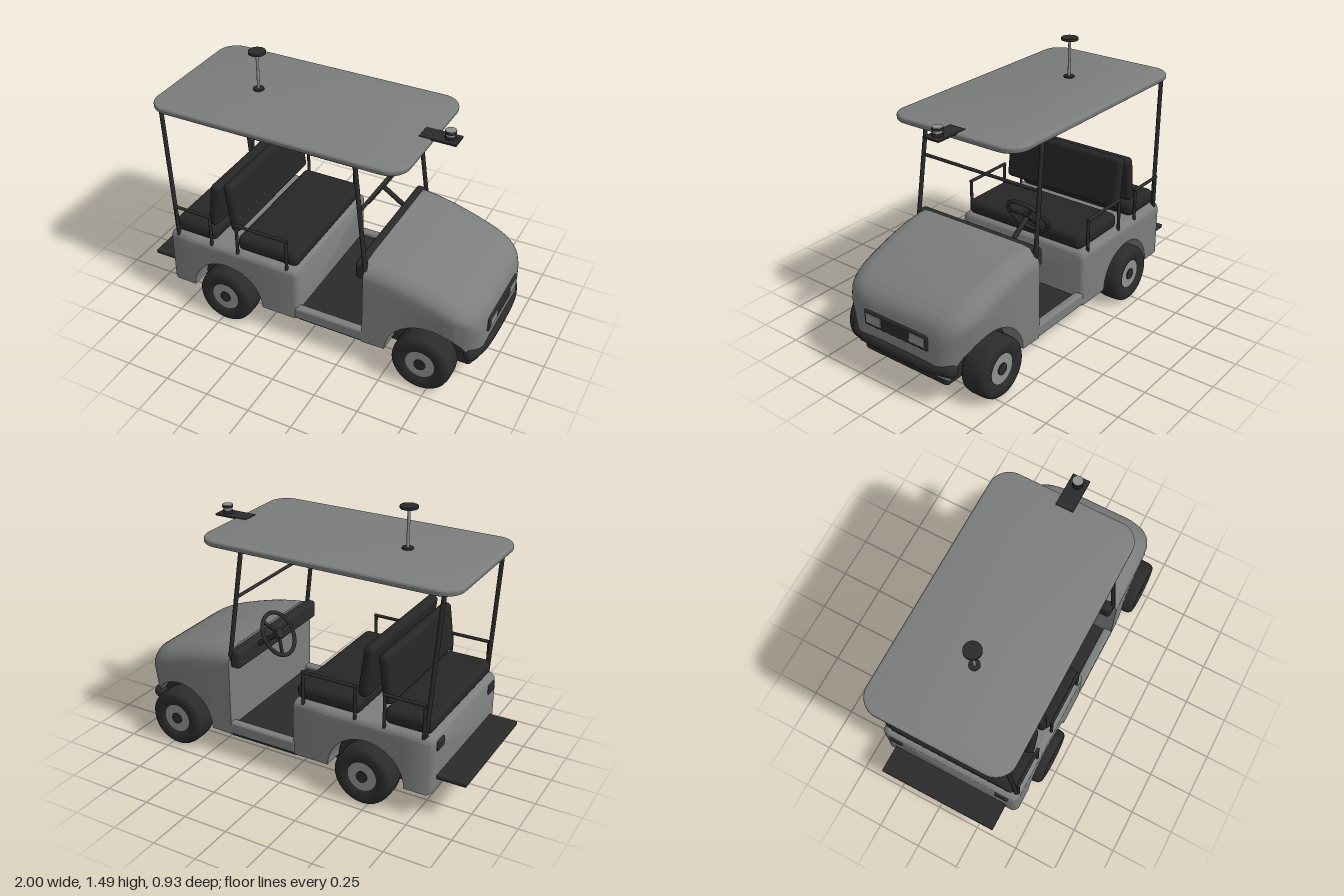
import * as THREE from 'three';
import { toCreasedNormals } from 'three/addons/utils/BufferGeometryUtils.js';
import { RoundedBoxGeometry } from 'three/addons/geometries/RoundedBoxGeometry.js';

const mat = (name, color) => Object.assign(new THREE.MeshStandardMaterial({ color }), { name });
const V = (x, y, z) => new THREE.Vector3(x, y, z);

// piecewise linear lookup in a list of [x, value]
function lookup(table, x) {
  for (let i = 1; i < table.length; i++) {
    const [x0, a] = table[i - 1], [x1, b] = table[i];
    if (x <= x1) return a + (b - a) * Math.max(0, (x - x0) / (x1 - x0));
  }
  return table[table.length - 1][1];
}

// body shell: cross-sections along x, with a wheel arch cut into the underside
function shell({ top, width, bottom, archX, archR, rx, ry, taper }) {
  const xs = top.concat(width, bottom).map(p => p[0]);
  for (let k = 0; k <= 24; k++) xs.push(archX - archR * Math.cos(k * Math.PI / 24));
  xs.sort((a, b) => a - b);
  const stations = xs.filter((x, i) => i === 0 || x - xs[i - 1] > 1e-4);
  const pos = [], idx = [];
  for (const x of stations) {
    const d = (x - archX) / archR;
    const t = lookup(top, x), w = lookup(width, x);
    const b = Math.max(lookup(bottom, x), 0.15 + 0.21 * Math.sqrt(Math.max(0, 1 - d * d)));
    const half = [];
    for (let k = 0; k < 6; k++) half.push([w, b + (t - ry - b) * k / 6]);
    for (let k = 0; k <= 8; k++) {
      const a = k * Math.PI / 16;
      half.push([w - rx + rx * Math.cos(a), t - ry + ry * Math.sin(a)]);
    }
    const narrow = y => 1 - taper(x) * Math.min(1, Math.max(0, (0.45 - y) / 0.3));
    half.forEach(([z, y]) => pos.push(x, y, z * narrow(y)));
    half.reverse().forEach(([z, y]) => pos.push(x, y, -z * narrow(y)));
  }
  const n = 30, last = stations.length - 1;
  for (let i = 0; i < last; i++) for (let j = 0; j < n; j++) {
    const a = i * n + j, d = i * n + (j + 1) % n;
    idx.push(a, a + n, d + n, a, d + n, d);
  }
  for (let j = 1; j < n - 1; j++) {
    idx.push(0, j, j + 1);
    idx.push(last * n, last * n + j + 1, last * n + j);
  }
  const g = new THREE.BufferGeometry();
  g.setAttribute('position', new THREE.Float32BufferAttribute(pos, 3));
  g.setIndex(idx);
  return toCreasedNormals(g, 0.75);
}

export function createModel() {
  const root = new THREE.Group();
  root.name = 'golfCart';
  const body = mat('bodyGrey', 0x7b7e7c);
  const dark = mat('blackTrim', 0x2b2b2b);
  const seat = mat('seatBlack', 0x262626);
  const light = mat('lightGrey', 0x8e908e);

  const add = (name, geo, m, x = 0, y = 0, z = 0, parent = root) => {
    const mesh = new THREE.Mesh(geo, m);
    mesh.name = name;
    mesh.position.set(x, y, z);
    parent.add(mesh);
    return mesh;
  };
  // box given by its bounds in x, y, and z
  const box = (name, m, [x0, x1], [y0, y1], [z0, z1], r = 0.01) =>
    add(name, new RoundedBoxGeometry(x1 - x0, y1 - y0, z1 - z0, 4, r), m, (x0 + x1) / 2, (y0 + y1) / 2, (z0 + z1) / 2);
  const rod = (name, m, a, b, r) => {
    const mesh = add(name, new THREE.CylinderGeometry(r, r, a.distanceTo(b), 12), m);
    mesh.position.copy(a).lerp(b, 0.5);
    mesh.quaternion.setFromUnitVectors(V(0, 1, 0), b.clone().sub(a).normalize());
    return mesh;
  };
  const disc = (name, m, r, y0, y1, x, z = 0) =>
    add(name, new THREE.CylinderGeometry(r, r, y1 - y0, 28), m, x, (y0 + y1) / 2, z);

  // body shells
  add('rearBody', shell({
    top: [[-0.84, 0.452], [-0.832, 0.465], [-0.815, 0.473], [-0.055, 0.473], [-0.037, 0.465], [-0.03, 0.452]],
    width: [[-0.84, 0.39], [-0.832, 0.407], [-0.81, 0.42], [-0.055, 0.42], [-0.037, 0.413], [-0.03, 0.4]],
    bottom: [[-0.84, 0.16], [-0.82, 0.15], [-0.03, 0.15]],
    archX: -0.47, archR: 0.22, rx: 0.035, ry: 0.035, taper: () => 0,
  }), body);
  add('frontCowl', shell({
    top: [[0.36, 0.665], [0.45, 0.655], [0.55, 0.636], [0.65, 0.61], [0.75, 0.58], [0.83, 0.551], [0.89, 0.522], [0.93, 0.495], [0.96, 0.46], [0.976, 0.42]],
    width: [[0.36, 0.42], [0.6, 0.411], [0.8, 0.4], [0.86, 0.39], [0.91, 0.368], [0.945, 0.34], [0.965, 0.305], [0.976, 0.27]],
    bottom: [[0.36, 0.15], [0.93, 0.15], [0.96, 0.17], [0.976, 0.2]],
    archX: 0.71, archR: 0.22, rx: 0.12, ry: 0.09,
    taper: x => 0.13 * Math.min(1, Math.max(0, (x - 0.5) / 0.4)),
  }), body);

  // floor, sills and chassis
  box('floor', dark, [-0.05, 0.38], [0.12, 0.2], [-0.39, 0.39]);
  for (const s of [-1, 1]) box('sill', body, [-0.05, 0.38], [0.15, 0.225], [s * 0.395 - 0.025, s * 0.395 + 0.025], 0.015);
  box('chassis', dark, [-0.79, 0.93], [0.1, 0.18], [-0.285, 0.285], 0.025);
  box('rearInnerFrame', dark, [-0.7, -0.24], [0.11, 0.333], [-0.3, 0.3]);
  box('frontInnerFrame', dark, [0.49, 0.92], [0.13, 0.333], [-0.29, 0.29]);
  box('rearStep', dark, [-1, -0.82], [0.217, 0.24], [-0.355, 0.355], 0.006);

  // wheels
  const half = [[0.075, 0.058], [0.095, 0.073], [0.125, 0.077], [0.148, 0.073], [0.16, 0.06], [0.165, 0.035]];
  const profile = half.map(([r, y]) => new THREE.Vector2(r, -y))
    .concat(half.slice().reverse().map(([r, y]) => new THREE.Vector2(r, y)));
  const tyreGeo = new THREE.LatheGeometry(profile, 40);
  for (const x of [-0.47, 0.71]) for (const s of [-1, 1]) {
    const wheel = new THREE.Group();
    wheel.name = 'wheel';
    wheel.position.set(x, 0.165, s * 0.388);
    wheel.rotation.x = s * Math.PI / 2;
    root.add(wheel);
    add('tyre', tyreGeo, dark, 0, 0, 0, wheel);
    add('rim', new THREE.CylinderGeometry(0.082, 0.082, 0.126, 32), light, 0, 0, 0, wheel);
    add('hubCap', new THREE.CylinderGeometry(0.032, 0.032, 0.14, 20), dark, 0, 0, 0, wheel);
  }

  // nose details
  box('lampPanel', dark, [0.95, 0.986], [0.31, 0.395], [-0.21, 0.21], 0.008);
  for (const s of [-1, 1]) box('headlamp', light, [0.982, 0.99], [0.326, 0.38], [s * 0.145 - 0.05, s * 0.145 + 0.05], 0.003);
  const bumperPath = new THREE.CatmullRomCurve3([V(0.93, 0, -0.31), V(0.953, 0, -0.22), V(0.962, 0, 0), V(0.953, 0, 0.22), V(0.93, 0, 0.31)]);
  const bumper = add('frontBumper', new THREE.TubeGeometry(bumperPath, 32, 0.037, 16), dark, 0, 0.215, 0);
  for (const s of [-1, 1]) add('bumperEnd', new THREE.SphereGeometry(0.037, 16, 12), dark, 0.93, 0, s * 0.31, bumper);
  for (const s of [-1, 1]) box('tailLamp', dark, [-0.85, -0.82], [0.39, 0.445], [s * 0.33 - 0.04, s * 0.33 + 0.04], 0.008);

  // dashboard and steering
  box('dashboard', dark, [0.305, 0.37], [0.55, 0.655], [-0.4, 0.4], 0.02);
  const steering = new THREE.Group();
  steering.name = 'steeringWheel';
  steering.position.set(0.177, 0.718, -0.205);
  steering.quaternion.setFromUnitVectors(V(0, 0, 1), V(-0.84, 0.54, 0).normalize());
  root.add(steering);
  add('steeringRim', new THREE.TorusGeometry(0.12, 0.011, 10, 40), dark, 0, 0, 0, steering);
  const hub = add('steeringHub', new THREE.CylinderGeometry(0.028, 0.028, 0.024, 20), dark, 0, 0, 0, steering);
  hub.rotation.x = Math.PI / 2;
  for (let k = 0; k < 3; k++) {
    const spoke = new THREE.Group();
    spoke.name = 'spoke';
    spoke.rotation.z = k * Math.PI * 2 / 3 + Math.PI / 2;
    steering.add(spoke);
    add('spokeBar', new THREE.BoxGeometry(0.12, 0.017, 0.01), dark, 0.06, 0, 0, spoke);
  }
  rod('steeringColumn', dark, V(0.177, 0.718, -0.205), V(0.33, 0.615, -0.205), 0.014);

  // seats, back to back
  box('frontSeat', seat, [-0.415, -0.04], [0.47, 0.56], [-0.39, 0.39], 0.036);
  box('rearSeat', seat, [-0.815, -0.55], [0.47, 0.56], [-0.39, 0.39], 0.036);
  const backGeo = h => new RoundedBoxGeometry(0.06, h, 0.77, 5, 0.027);
  add('frontSeatBack', backGeo(0.295), seat, -0.442, 0.725, 0).rotation.z = 0.13;
  add('rearSeatBack', backGeo(0.27), seat, -0.553, 0.71, 0).rotation.z = -0.13;

  // arm rails, roof posts and crossbar
  for (const s of [-1, 1]) {
    for (const [x0, x1] of [[-0.4, -0.095], [-0.785, -0.567]]) {
      const z = s * 0.405;
      rod('armRail', dark, V(x0 - 0.009, 0.648, z), V(x1 + 0.009, 0.648, z), 0.009);
      for (const x of [x0, x1]) rod('armRailPost', dark, V(x, 0.46, z), V(x, 0.648, z), 0.009);
    }
    rod('rearPost', dark, V(-0.79, 0.46, s * 0.395), V(-0.84, 1.235, s * 0.373), 0.012);
    rod('frontPost', dark, V(0.365, 0.6, s * 0.395), V(0.285, 1.235, s * 0.373), 0.012);
  }
  rod('crossbar', dark, V(0.319, 0.965, -0.38), V(0.319, 0.965, 0.38), 0.009);

  // roof: rounded panel with soft edges
  const [x0, x1, w, r, bevel] = [-0.9, 0.533, 0.395, 0.1, 0.013];
  const plan = new THREE.Shape();
  plan.absarc(x1 - r, w - r, r, 0, Math.PI / 2);
  plan.absarc(x0 + r, w - r, r, Math.PI / 2, Math.PI);
  plan.absarc(x0 + r, r - w, r, Math.PI, Math.PI * 1.5);
  plan.absarc(x1 - r, r - w, r, Math.PI * 1.5, Math.PI * 2);
  const roofGeo = new THREE.ExtrudeGeometry(plan, { depth: 0.01, bevelThickness: bevel, bevelSize: bevel, bevelSegments: 5, curveSegments: 12 });
  add('roof', toCreasedNormals(roofGeo, 0.6), body, 0, 1.238, 0).rotation.x = -Math.PI / 2;

  // roof antenna
  disc('antennaBase', dark, 0.03, 1.255, 1.269, -0.47);
  disc('antennaPole', light, 0.008, 1.265, 1.478, -0.47);
  disc('antennaTop', dark, 0.047, 1.474, 1.487, -0.47);

  // forward sensor on its bracket
  box('sensorBracket', dark, [0.475, 0.675], [1.253, 1.264], [-0.05, 0.05], 0.003);
  disc('sensorBase', dark, 0.028, 1.262, 1.28, 0.625);
  disc('sensorBand', light, 0.024, 1.28, 1.296, 0.625);
  disc('sensorHead', dark, 0.03, 1.296, 1.308, 0.625);
  disc('sensorCap', light, 0.028, 1.306, 1.312, 0.625);

  return root;
}
